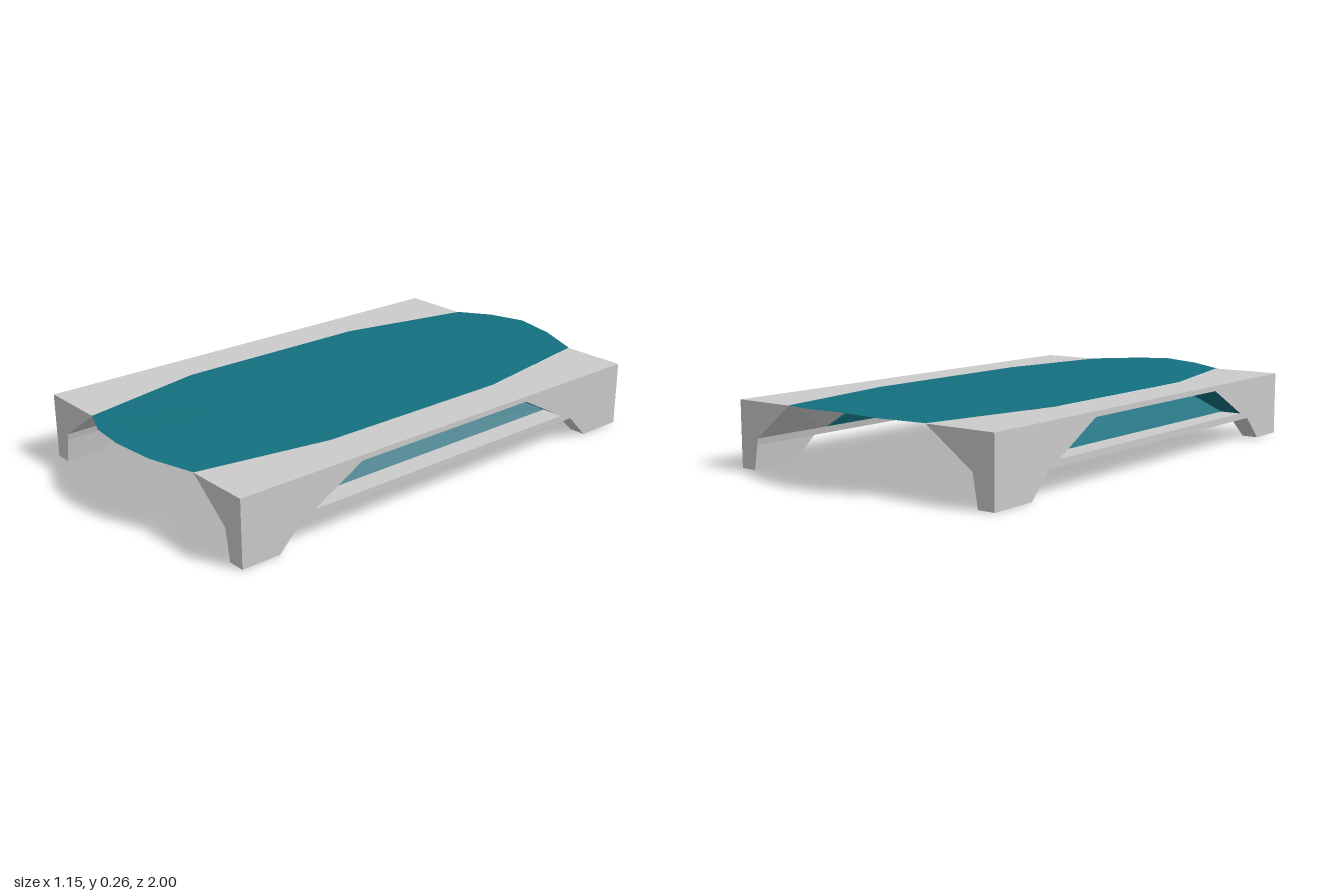
import * as THREE from 'three';

const paint = (color) => new THREE.MeshStandardMaterial({ color, flatShading: true, side: THREE.DoubleSide });
const grey = paint(0xcccccc), teal = paint(0x13707f), blue = paint(0x0000cc);

// Mesh from flat convex polygons, each a list of [x, y, z] corners
function panels(name, polys, material) {
  const pos = [];
  for (const p of polys)
    for (let i = 1; i < p.length - 1; i++) pos.push(...p[0], ...p[i], ...p[i + 1]);
  const geo = new THREE.BufferGeometry();
  geo.setAttribute('position', new THREE.Float32BufferAttribute(pos, 3));
  geo.computeVertexNormals();
  const mesh = new THREE.Mesh(geo, material);
  mesh.name = name;
  return mesh;
}

const W = 0.575, TOP = 0.246, RAIL = 0.09, SILL = 0.115, HEAD = 0.226, END = 0.917;
const FOOT_X = 0.51, RAIL_X = 0.497, KNEE_X = 0.49, MID_X = 0.412;
const at = (e, z) => e * z + 0.018;           // cutouts sit slightly toward the front
const endX = (s) => (s > 0 ? 0.325 : 0.3);    // where the top meets the end walls

// One long side frame: s = +1 or -1
function sideFrame(s) {
  const g = new THREE.Group();
  g.name = s > 0 ? 'leftFrame' : 'rightFrame';
  const P = (x, y, z) => [s * x, y, z];
  const ex = endX(s);

  // Outer wall with feet cut-out and trapezoid window, drawn in (z, y)
  const v = (z, y) => new THREE.Vector2(z, y);
  const shape = new THREE.Shape([
    v(-END, 0), v(at(-1, 0.75), 0), v(at(-1, 0.662), RAIL), v(at(1, 0.662), RAIL),
    v(at(1, 0.75), 0), v(END, 0), v(END, TOP), v(-END, TOP)]);
  shape.holes.push(new THREE.Path([
    v(at(-1, 0.605), SILL), v(at(-1, 0.4), HEAD), v(at(1, 0.4), HEAD), v(at(1, 0.605), SILL)]));
  const wallGeo = new THREE.ShapeGeometry(shape);
  wallGeo.rotateY(-Math.PI / 2);
  wallGeo.translate(s * W, 0, 0);
  if (s > 0) { // face outward
    const idx = wallGeo.index.array;
    for (let i = 0; i < idx.length; i += 3) [idx[i], idx[i + 1]] = [idx[i + 1], idx[i]];
    wallGeo.computeVertexNormals();
  }
  const wall = new THREE.Mesh(wallGeo, grey);
  wall.name = 'outerWall';
  g.add(wall);

  const a = at(1, 0.4), b = at(-1, 0.4), c = at(1, 0.605), d = at(-1, 0.605);
  g.add(panels('topBorder', [
    [P(W, TOP, END), P(W, TOP, a), P(MID_X, TOP, a), P(ex, TOP, END)],
    [P(W, TOP, a), P(W, TOP, b), P(MID_X, TOP, b), P(MID_X, TOP, a)],
    [P(W, TOP, b), P(W, TOP, -END), P(ex, TOP, -END), P(MID_X, TOP, b)]], grey));

  // Rail underside, inner face and window sill
  const r0 = at(-1, 0.662), r1 = at(1, 0.662);
  g.add(panels('rail', [
    [P(W, RAIL, r0), P(W, RAIL, r1), P(RAIL_X, RAIL, r1), P(RAIL_X, RAIL, r0)],
    [P(RAIL_X, RAIL, -END), P(RAIL_X, RAIL, END), P(KNEE_X, SILL, END), P(KNEE_X, SILL, -END)],
    [P(W, SILL, d), P(W, SILL, c), P(KNEE_X, SILL, c), P(KNEE_X, SILL, d)]], grey));

  // Sloped inner glass and the lining of the window recess
  g.add(panels('innerPanel', [
    [P(KNEE_X, SILL, d), P(KNEE_X, SILL, c), P(MID_X, TOP, a), P(MID_X, TOP, b)]], teal));
  g.add(panels('windowRecess', [
    [P(W, HEAD, b), P(W, HEAD, a), P(MID_X + 0.012, HEAD, a), P(MID_X + 0.012, HEAD, b)],
    [P(W, SILL, c), P(W, HEAD, a), P(MID_X, HEAD, a), P(KNEE_X, SILL, c)],
    [P(W, SILL, d), P(W, HEAD, b), P(MID_X, HEAD, b), P(KNEE_X, SILL, d)]], teal));

  // End walls, legs and soles at both ends
  for (const e of [1, -1]) {
    const z = e * END, f = at(e, 0.75), h = at(e, 0.662);
    g.add(panels('endWall', [
      [P(KNEE_X, SILL, z), P(W, SILL, z), P(W, TOP, z), P(ex, TOP, z)],
      [P(FOOT_X, 0, z), P(W, 0, z), P(W, SILL, z), P(KNEE_X, SILL, z), P(RAIL_X, RAIL, z)]], grey));
    g.add(panels('cornerBrace', [
      [P(ex, TOP, z), P(KNEE_X, SILL, z), P(KNEE_X, SILL, at(e, 0.605))],
      [P(ex, TOP, z), P(KNEE_X, SILL, at(e, 0.605)), P(MID_X, TOP, at(e, 0.4))]], grey));
    g.add(panels('leg', [
      [P(FOOT_X, 0, z), P(FOOT_X, 0, f), P(RAIL_X, RAIL, h), P(RAIL_X, RAIL, z)],
      [P(W, 0, f), P(W, RAIL, h), P(RAIL_X, RAIL, h), P(FOOT_X, 0, f)]], grey));
    g.add(panels('sole', [
      [P(W, 0, z), P(W, 0, f), P(FOOT_X, 0, f), P(FOOT_X, 0, z)]], blue));
  }
  return g;
}

// Slightly ridged top sheet: strips from the centre ridge to the outline
function topSheet() {
  const polys = [];
  for (const s of [1, -1]) {
    const rim = [
      [0, 0.264, 1], [0.16, 0.256, 0.977], [endX(s), 0.247, END], [MID_X, 0.247, at(1, 0.4)],
      [MID_X, 0.247, at(-1, 0.4)], [endX(s), 0.247, -END], [0.16, 0.256, -0.977], [0, 0.264, -1]];
    for (let i = 0; i < rim.length - 1; i++) {
      const [p, q] = [rim[i], rim[i + 1]];
      const strip = [[0, 0.264, p[2]], [s * p[0], p[1], p[2]], [s * q[0], q[1], q[2]], [0, 0.264, q[2]]];
      polys.push(s > 0 ? strip : strip.reverse());
    }
  }
  return panels('tableTop', polys, teal);
}

export function createModel() {
  const model = new THREE.Group();
  model.name = 'table';
  model.add(topSheet(), sideFrame(1), sideFrame(-1));
  return model;
}
